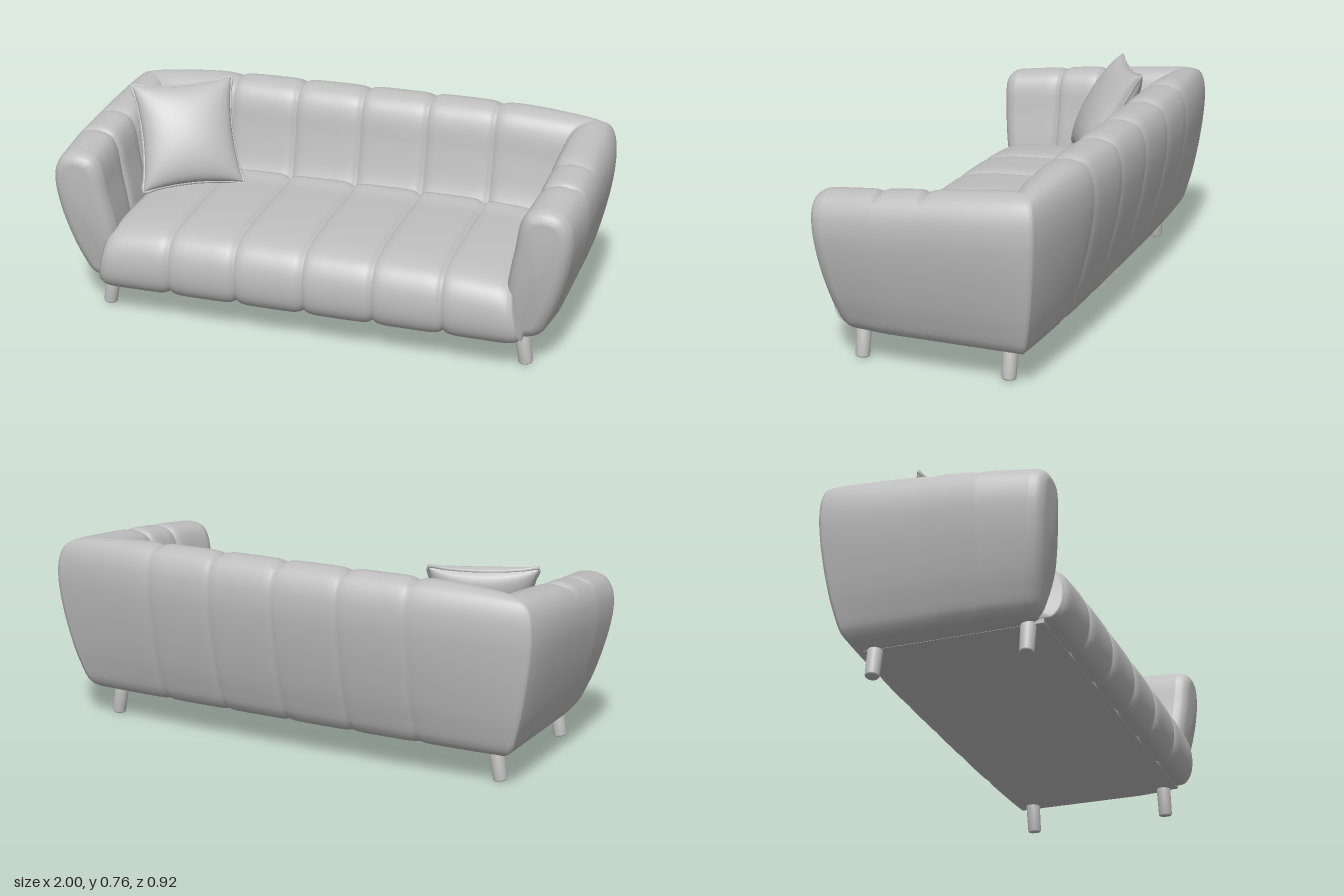
import * as THREE from 'three';

const fabric = new THREE.MeshStandardMaterial({ color: 0xbebebe });
fabric.name = 'grey fabric';
const lerp = THREE.MathUtils.lerp;
const FLOOR = 0.11; // underside of the upholstery
const US = [0, 0.03, 0.08, 0.16, 0.3, 0.5, 0.7, 0.84, 0.92, 0.97, 1];

// Skin through rows of points; a closed row wraps around on itself
function skin(rows, closed) {
  const n = rows[0].length, pos = [], idx = [];
  rows.forEach(r => r.forEach(p => pos.push(p[0], p[1], p[2])));
  for (let i = 0; i < rows.length - 1; i++) {
    for (let j = 0; j < (closed ? n : n - 1); j++) {
      const k = (j + 1) % n, a = i * n + j, b = a + n, c = i * n + k, d = c + n;
      idx.push(a, b, c, b, d, c);
    }
  }
  const g = new THREE.BufferGeometry();
  g.setAttribute('position', new THREE.Float32BufferAttribute(pos, 3));
  g.setIndex(idx);
  g.computeVertexNormals();
  return g;
}

function mesh(name, geometry) {
  const m = new THREE.Mesh(geometry, fabric);
  m.name = name;
  return m;
}

// Smooth closed section with outward normals; sy is the height scale of the section
function section(points, count, sy) {
  const curve = new THREE.CatmullRomCurve3(points.map(p => new THREE.Vector3(p[0], p[1], p[2] || 0)), true, 'centripetal');
  const pts = curve.getPoints(count).slice(0, count);
  return pts.map((p, i) => {
    const a = pts[(i + count - 1) % count], b = pts[(i + 1) % count];
    const tx = b.x - a.x, ty = (b.y - a.y) * sy, l = Math.hypot(tx, ty) || 1;
    return { a: p.x, h: p.y, e: p.z, na: -ty / l, nh: tx / l };
  });
}

// One padded channel: stations from seam to seam, pulled in at each seam
const channel = (k0, k1, make) => US.map(u => make(u, 0.016 * (u < 0.5 ? k0 : k1) * Math.abs(2 * u - 1) ** 8));

// Arms and back as one U-shaped sweep
function shell() {
  // [inward distance, relative height, extra depth along the back]
  const prof = section([
    [0.18, 0], [0.12, 0.035], [0.075, 0.18], [0.035, 0.4], [0.008, 0.62], [0, 0.78], [0.012, 0.9],
    [0.045, 0.975], [0.1, 1], [0.155, 0.975, 0.008], [0.185, 0.9, 0.015], [0.205, 0.7, 0.02],
    [0.225, 0.5, 0.03], [0.235, 0.35, 0.06], [0.235, 0.1, 0.06], [0.225, 0, 0.06],
  ], 64, 0.61);
  const backZ = (x, d, e) => -0.457 + d + e + 0.07 * Math.max(0, 1 - d / 0.2) * Math.abs(x / 0.98) ** 3;
  const armTop = z => 0.683 - 0.11 * z;

  const row = st => prof.map(p => {
    let w = THREE.MathUtils.clamp(p.na + p.nh + 0.3, st.part === 'back' ? 0.35 : 0, 1);
    if (st.part === 'cap') w = 1;
    let d = p.a - p.na * st.k * w;
    let y = Math.max(FLOOR, FLOOR + Math.max(0, p.h) * (st.top - FLOOR) - p.nh * st.k * w);
    if (st.shrink) {
      d = lerp(d, 0.12, st.shrink);
      y = lerp(y, 0.4, st.shrink);
    }
    const mx = 1 - d - 0.02 * Math.max(0, 1 - d / 0.1), mz = backZ(mx, d, p.e);
    if (st.part === 'back') {
      const x = st.x === undefined ? lerp(mx, 0.53, st.t) : st.x;
      return [x, y, backZ(x, d, p.e)];
    }
    if (st.part === 'corner') return [lerp(1 - d, mx, st.t ** 5), y, lerp(0.03, mz, st.t)];
    const front = THREE.MathUtils.clamp((st.z - 0.2) / 0.2, 0, 1);
    const hh = (y - FLOOR) / (st.top - FLOOR);
    return [1 - d - 0.015 * front, y, st.z - 0.07 * front * (1 - hh) ** 2];
  });

  // Rounded arm front, from the centre outwards
  const stations = [[0.446, 0.045, 1], [0.445, 0.045, 0.5], [0.442, 0.045, 0], [0.439, 0.03, 0],
    [0.43, 0.015, 0], [0.415, 0.005, 0], [0.395, 0, 0]]
    .map(([z, k, shrink]) => ({ part: 'cap', z, k, shrink, top: armTop(Math.min(z, 0.4)) }));
  const arm = (z0, z1, k0) => channel(k0, 1, (u, k) => {
    const z = lerp(z0, z1, u);
    return { part: 'arm', z, k, top: armTop(z) };
  });
  const add = list => stations.push(...list.slice(1));
  add(arm(0.395, 0.2, 0));
  add(arm(0.2, 0.03, 1));
  add(channel(1, 0.3, (t, k) => ({ part: 'corner', t, k, top: lerp(0.68, 0.715, t) })));
  add(channel(0.3, 1, (t, k) => ({ part: 'back', t, k, top: lerp(0.715, 0.739, 1 - (1 - t) ** 2) })));
  for (const [x0, x1] of [[0.53, 0.265], [0.265, 0]]) {
    add(channel(1, 1, (u, k) => ({ part: 'back', x: lerp(x0, x1, u), k, top: 0.739 })));
  }
  const half = stations.map(row);
  const other = half.slice(0, -1).reverse().map(r => r.map(([x, y, z]) => [-x, y, z]));
  return mesh('armsAndBack', skin([...half, ...other], true));
}

// Seat of six padded channels with closed ends
function seat() {
  const prof = section([
    [-0.2, 0.11], [0.1, 0.11], [0.36, 0.11], [0.415, 0.114], [0.446, 0.15], [0.459, 0.22], [0.446, 0.295],
    [0.41, 0.345], [0.33, 0.374], [0.1, 0.392], [-0.1, 0.395], [-0.2, 0.395],
  ], 64, 1);
  const row = ({ x, k, shrink = 0 }) => prof.map(p => {
    // section normals point inwards along this direction of travel
    let z = p.a + p.na * k, y = Math.max(FLOOR, p.h + p.nh * k);
    const q = Math.abs(x) / 0.82, h = (y - FLOOR) / 0.28;
    y -= 0.025 * h * q ** 4;
    z = lerp(z, 0.15, shrink);
    y = lerp(y, 0.25, shrink);
    return [x * (1 - 0.06 * h * q ** 3), y, z];
  });
  const seams = [-0.81, -0.53, -0.265, 0, 0.265, 0.53, 0.81];
  const stations = [{ x: -0.82, k: 0.02, shrink: 1 }, { x: -0.82, k: 0.02 }];
  for (let i = 0; i < 6; i++) {
    stations.push(...channel(1, 1, (u, k) => ({ x: lerp(seams[i], seams[i + 1], u), k })).slice(i ? 1 : 0));
  }
  stations.push({ x: 0.82, k: 0.02 }, { x: 0.82, k: 0.02, shrink: 1 });
  return mesh('seat', skin(stations.map(row), true));
}

// Square scatter cushion with pinched sides and pointed corners
function cushion() {
  const g = new THREE.Group();
  g.name = 'cushion';
  const N = 28;
  const sheet = side => {
    const rows = [];
    for (let i = 0; i <= N; i++) {
      const a = -side * Math.cos(Math.PI * i / N), r = [];
      for (let j = 0; j <= N; j++) {
        const b = -Math.cos(Math.PI * j / N);
        const puff = ((1 - a * a) * (1 - b * b)) ** 0.42;
        r.push([0.195 * a * (1 - 0.11 * (1 - b * b)), 0.21 * b * (1 - 0.09 * (1 - a * a)), side * (0.004 + 0.08 * puff)]);
      }
      rows.push(r);
    }
    return skin(rows, false);
  };
  g.add(mesh('cushionFront', sheet(1)), mesh('cushionBack', sheet(-1)));
  // Piped edge
  const edge = [];
  for (let s = 0; s < 4; s++) {
    for (let i = 0; i < 8; i++) {
      const t = -1 + i / 4, [a, b] = [[t, -1], [1, t], [-t, 1], [-1, -t]][s];
      edge.push(new THREE.Vector3(0.195 * a * (1 - 0.11 * (1 - b * b)), 0.21 * b * (1 - 0.09 * (1 - a * a)), 0));
    }
  }
  g.add(mesh('cushionPiping', new THREE.TubeGeometry(new THREE.CatmullRomCurve3(edge, true), 96, 0.007, 6, true)));
  const u = new THREE.Vector3(0.33, 0.01, -0.19).normalize();
  const n = u.clone().cross(new THREE.Vector3(-0.115, 0.36, -0.17)).normalize();
  const v = n.clone().cross(u);
  g.quaternion.setFromRotationMatrix(new THREE.Matrix4().makeBasis(u, v, n));
  g.position.set(-0.645, 0.568, -0.07);
  return g;
}

export function createModel() {
  const sofa = new THREE.Group();
  sofa.name = 'sofa';
  sofa.add(shell(), seat(), cushion());

  // Flat underside
  const base = mesh('base', new THREE.BoxGeometry(1.62, 0.03, 0.66));
  base.position.set(0, 0.124, 0.05);
  sofa.add(base);

  // Round legs, splayed outwards
  const legShape = new THREE.LatheGeometry([[0, 0], [0.022, 0], [0.026, 0.005], [0.028, 0.14], [0, 0.14]]
    .map(p => new THREE.Vector2(...p)), 20);
  for (const x of [-1, 1]) {
    for (const z of [0.322, -0.238]) {
      const leg = mesh(z > 0 ? 'frontLeg' : 'backLeg', legShape);
      leg.position.set(x * 0.82, 0.003, z);
      leg.rotation.z = x * 0.17;
      sofa.add(leg);
    }
  }
  return sofa;
}
